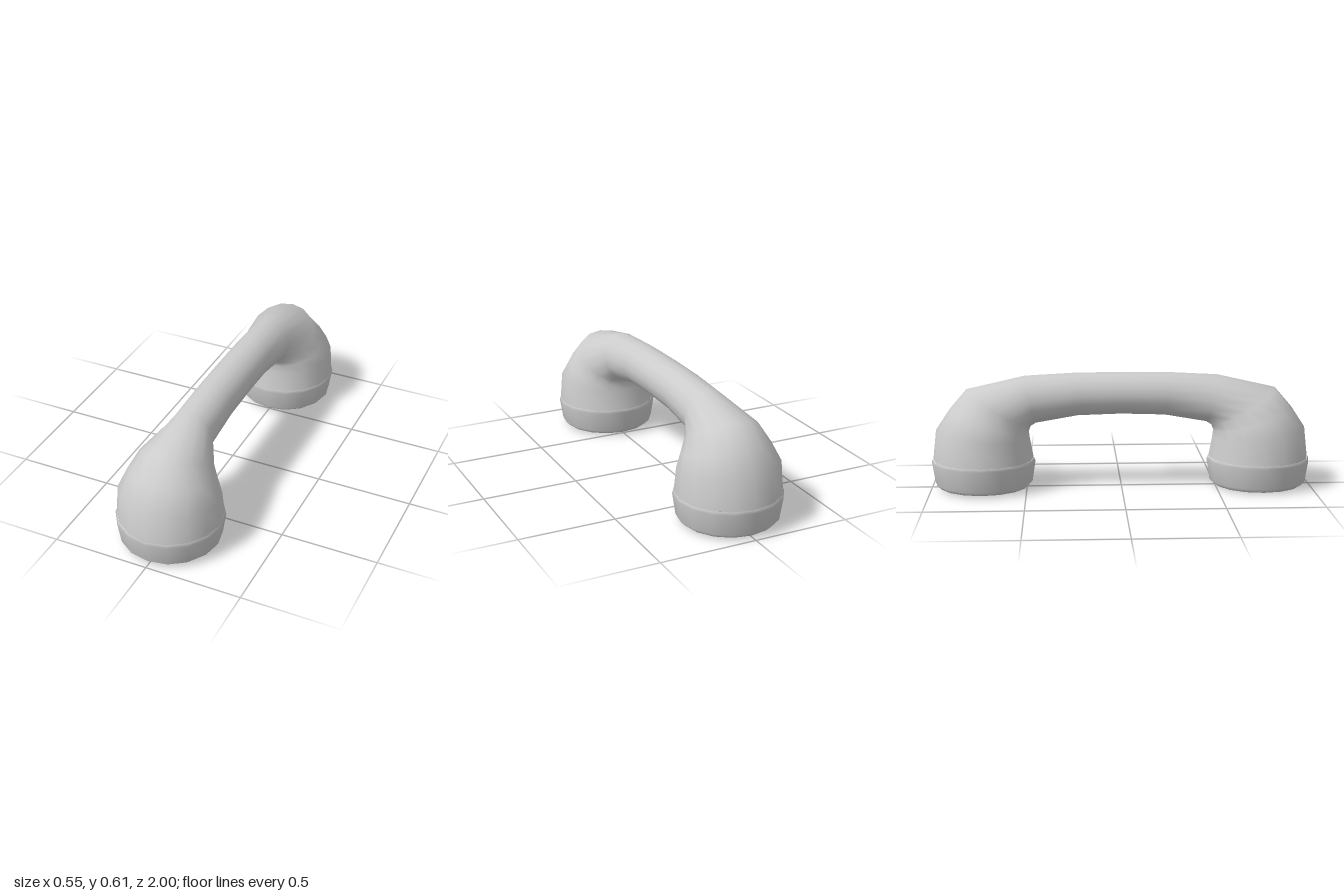
import * as THREE from 'three';

const SIDES = 16;
const CUP_Z = 0.727;

// Smooth skin over rings [outerZ, outerY, innerZ, innerY, halfWidth]
function loft(rings, name, material) {
  const pos = [], index = [];
  for (const [oz, oy, iz, iy, w] of rings) {
    for (let k = 0; k < SIDES; k++) {
      const t = (k / SIDES) * Math.PI * 2, c = Math.cos(t) / 2;
      pos.push(w * Math.sin(t), (oy + iy) / 2 + (oy - iy) * c, (oz + iz) / 2 + (oz - iz) * c);
    }
  }
  for (let i = 0; i < rings.length - 1; i++) {
    for (let k = 0; k < SIDES; k++) {
      const n = (k + 1) % SIDES;
      const a = i * SIDES + k, b = i * SIDES + n;
      index.push(a, b, a + SIDES, b, b + SIDES, a + SIDES);
    }
  }
  const geometry = new THREE.BufferGeometry();
  geometry.setAttribute('position', new THREE.Float32BufferAttribute(pos, 3));
  geometry.setIndex(index);
  geometry.computeVertexNormals();
  const mesh = new THREE.Mesh(geometry, material);
  mesh.name = name;
  return mesh;
}

export function createModel() {
  const group = new THREE.Group();
  group.name = 'telephoneHandset';
  const material = new THREE.MeshStandardMaterial({ color: 0xcccccc });

  // Handle: cup wall bending over into the arched grip, mirrored to the back
  const half = [
    [0.991, 0.155, 0.463, 0.155, 0.266],
    [0.973, 0.31, 0.483, 0.265, 0.256],
    [0.9, 0.42, 0.487, 0.3, 0.222],
    [0.81, 0.525, 0.477, 0.326, 0.182],
    [0.505, 0.594, 0.45, 0.343, 0.113],
    [0.24, 0.608, 0.23, 0.381, 0.11],
  ];
  const mirrored = half.map(([oz, oy, iz, iy, w]) => [-oz, oy, -iz, iy, w]).reverse();
  group.add(loft([...half, [0, 0.61, 0, 0.388, 0.11], ...mirrored], 'handle', material));

  // Caps: [radius, y] from the centre of the underside to the seam
  const profile = [
    [0, 0.001], [0.03, 0.006], [0.22, 0.007], [0.234, 0.009],
    [0.256, 0.03], [0.273, 0.14], [0.266, 0.155],
  ];
  for (const [name, side] of [['mouthpieceCap', 1], ['earpieceCap', -1]]) {
    const rings = profile.map(([r, y]) => [side * CUP_Z + r, y, side * CUP_Z - r, y, r]);
    group.add(loft(rings, name, material));
  }
  return group;
}
